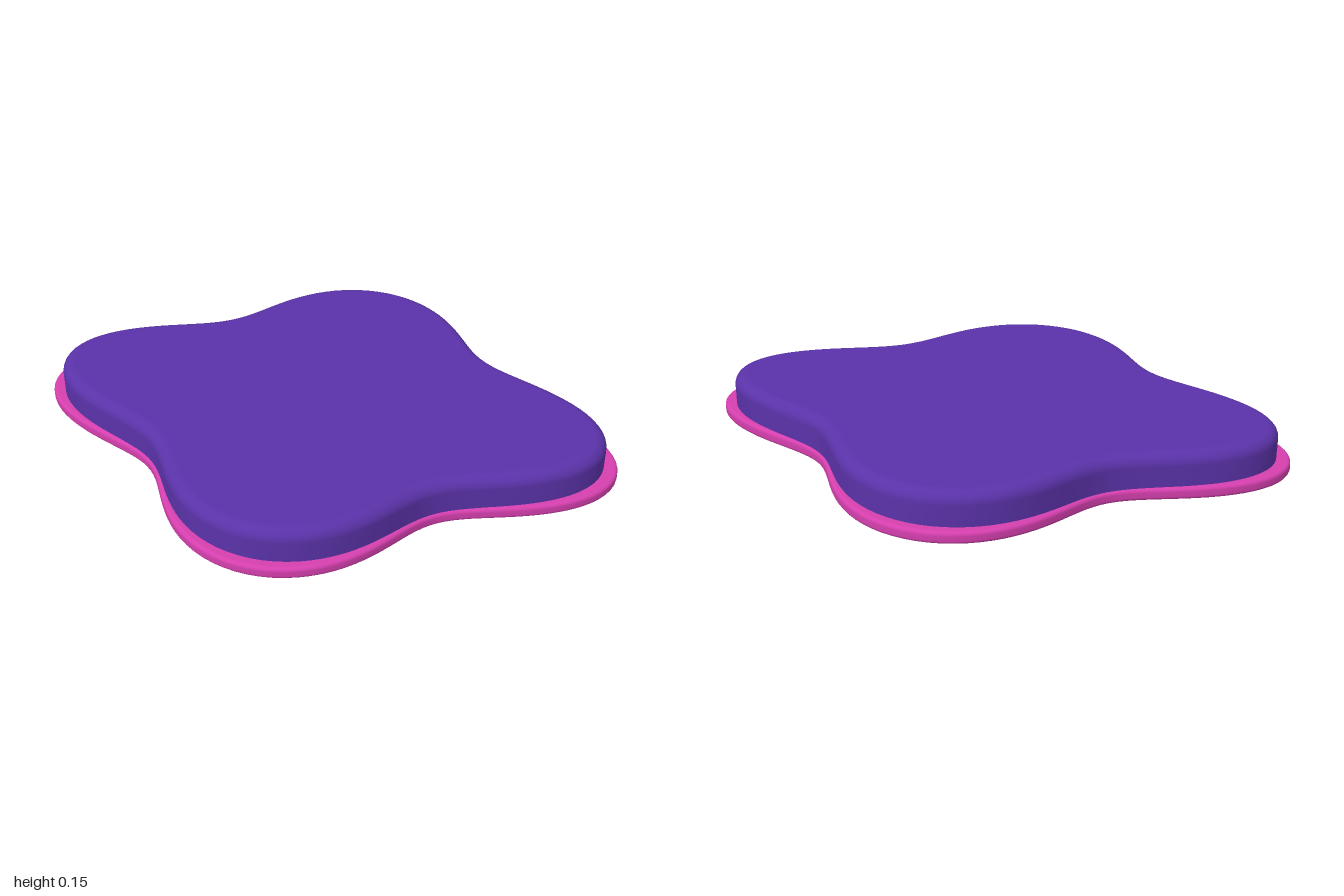
import * as THREE from 'three';

const SEGMENTS = 160;
const DEPTH = 0.785; // depth of the outline relative to its width

// Four-lobed outline, moved inwards by inset along its normal
function outlinePoint(i, lobe, inset) {
  const at = (t) => {
    const r = lobe.mean + lobe.swing * Math.cos(4 * t);
    return [r * Math.cos(t), r * Math.sin(t) * DEPTH];
  };
  const t = (i / SEGMENTS) * Math.PI * 2;
  const p = at(t), a = at(t - 0.001), b = at(t + 0.001);
  const tx = b[0] - a[0], tz = b[1] - a[1], len = Math.hypot(tx, tz);
  return [p[0] - (tz / len) * inset, p[1] + (tx / len) * inset];
}

// Closed slab from a list of [inset, height] rows, bottom to top, with flat caps
function slab(lobe, rows) {
  const positions = [], index = [];
  const addRing = ([inset, y]) => {
    const start = positions.length / 3;
    for (let i = 0; i < SEGMENTS; i++) {
      const [x, z] = outlinePoint(i, lobe, inset);
      positions.push(x, y, z);
    }
    return start;
  };
  const rings = rows.map(addRing);
  for (let k = 0; k < rings.length - 1; k++) {
    for (let i = 0; i < SEGMENTS; i++) {
      const j = (i + 1) % SEGMENTS;
      const a = rings[k] + i, b = rings[k] + j;
      const c = rings[k + 1] + i, d = rings[k + 1] + j;
      index.push(a, c, b, b, c, d);
    }
  }
  // Caps have their own vertices so they shade flat
  const addCap = (row, up) => {
    const ring = addRing(row);
    const centre = positions.length / 3;
    positions.push(0, row[1], 0);
    for (let i = 0; i < SEGMENTS; i++) {
      const a = ring + i, b = ring + (i + 1) % SEGMENTS;
      if (up) index.push(centre, b, a);
      else index.push(centre, a, b);
    }
  };
  addCap(rows[0], false);
  addCap(rows[rows.length - 1], true);
  const geometry = new THREE.BufferGeometry();
  geometry.setAttribute('position', new THREE.Float32BufferAttribute(positions, 3));
  geometry.setIndex(index);
  geometry.computeVertexNormals();
  return geometry;
}

// Quarter-round edge rows ending at the top height
function roundedTop(radius, top, steps) {
  return Array.from({ length: steps + 1 }, (_, k) => {
    const a = (k / steps) * Math.PI / 2;
    return [radius * (1 - Math.cos(a)), top - radius * (1 - Math.sin(a))];
  });
}

export function createModel() {
  const model = new THREE.Group();
  model.name = 'lobedCushion';

  const purple = new THREE.MeshStandardMaterial({ color: 0x5a32a8 });
  purple.name = 'purple';
  const pink = new THREE.MeshStandardMaterial({ color: 0xd53fae });
  pink.name = 'pink';

  // Thin base trim with small rounded edges above and below
  const trimTop = roundedTop(0.012, 0.04, 4);
  const trimBottom = trimTop.map(([inset, y]) => [inset, 0.04 - y]).reverse();
  const trim = new THREE.Mesh(slab({ mean: 0.848, swing: 0.152 }, [...trimBottom, ...trimTop]), pink);
  trim.name = 'baseTrim';

  // Thick body with a softly rounded top edge, set into the trim
  const body = new THREE.Mesh(
    slab({ mean: 0.82, swing: 0.134 }, [[0, 0.03], ...roundedTop(0.04, 0.15, 8)]),
    purple
  );
  body.name = 'body';

  model.add(trim, body);
  return model;
}
